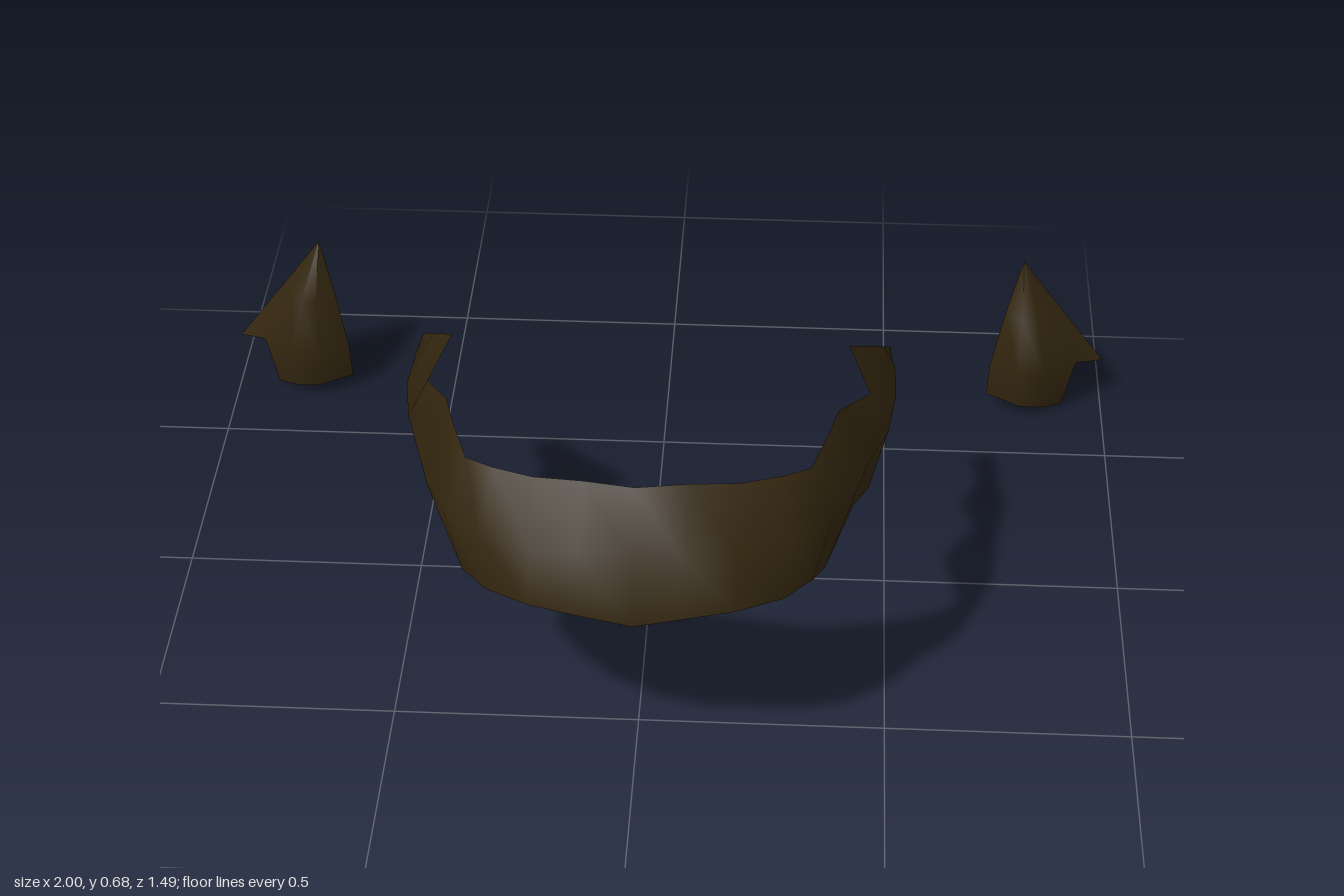
import * as THREE from 'three';

const darkBrown = new THREE.MeshStandardMaterial({ color: 0x33260f, side: THREE.DoubleSide });
darkBrown.name = 'darkBrown';

// Smooth sheet from columns of points (each column runs top to bottom); null leaves a gap
function sheet(name, columns) {
  const points = [];
  const ids = columns.map(col => col.map(p => (p ? points.push(new THREE.Vector3(...p)) - 1 : -1)));
  const index = [];
  const addTriangle = (a, b, c) => {
    if (new THREE.Triangle(points[a], points[b], points[c]).getArea() > 1e-6) index.push(a, b, c);
  };
  for (let i = 0; i < ids.length - 1; i++) {
    for (let j = 0; j < ids[i].length - 1; j++) {
      const a = ids[i][j], b = ids[i + 1][j], c = ids[i][j + 1], d = ids[i + 1][j + 1];
      if (Math.min(a, b, c, d) < 0) continue;
      addTriangle(a, c, d);
      addTriangle(a, d, b);
    }
  }
  const geometry = new THREE.BufferGeometry().setFromPoints(points);
  geometry.setIndex(index);
  geometry.computeVertexNormals();
  const mesh = new THREE.Mesh(geometry, darkBrown);
  mesh.name = name;
  return mesh;
}

// Mirror across x, reversing the columns so the faces still look outward
const mirror = columns => columns.map(col => col.map(p => p && [-p[0], p[1], p[2]])).reverse();

// Left half of the jagged band, centre to tip: top edge, bulging middle, bottom edge
const bandHalf = [
  [[0, 0.65, 0.6], [0, 0.565, 0.695], [0, 0.4, 0.71]],
  [[0.1, 0.655, 0.59], [0.1, 0.565, 0.715], [0.1, 0.445, 0.74]],
  [[0.2, 0.64, 0.56], [0.2, 0.55, 0.68], [0.2, 0.445, 0.71]],
  [[0.28, 0.635, 0.525], [0.3, 0.54, 0.615], [0.29, 0.42, 0.63]],
  [[0.335, 0.635, 0.495], [0.375, 0.53, 0.54], [0.345, 0.4, 0.54]],
  [[0.365, 0.66, 0.42], [0.42, 0.53, 0.44], [0.37, 0.345, 0.42]],
  [[0.385, 0.68, 0.36], [0.445, 0.55, 0.36], [0.42, 0.46, 0.37]],
  [[0.45, 0.575, 0.14], [0.49, 0.5, 0.16], [0.455, 0.335, 0.13]],
  [[0.405, 0.64, 0.065], [0.505, 0.51, 0.05], [0.475, 0.43, 0.08]],
  [[0.46, 0.567, -0.05], [0.505, 0.49, -0.05], [0.48, 0.37, -0.05]],
  [[0.48, 0.528, -0.11], [0.505, 0.48, -0.11], [0.49, 0.43, -0.11]],
  [[0.495, 0.49, -0.17], [0.5, 0.45, -0.18], [0.495, 0.405, -0.165]],
  [[0.495, 0.38, -0.22], [0.495, 0.38, -0.22], [0.495, 0.38, -0.22]],
];

// Left pointed tuft, inner edge to outer spike, all columns meeting at the apex
const apex = [0.805, 0.36, -0.745];
const tuft = [
  [apex, [0.768, 0.25, -0.7], [0.738, 0.12, -0.675], [0.735, 0.03, -0.695]],
  [apex, [0.805, 0.255, -0.645], [0.8, 0.13, -0.62], [0.81, 0.03, -0.645]],
  [apex, [0.84, 0.25, -0.655], [0.86, 0.13, -0.625], [0.86, 0.016, -0.665]],
  [apex, [0.87, 0.25, -0.7], [0.935, 0.125, -0.69], [0.91, 0, -0.705]],
  [apex, [0.887, 0.25, -0.745], [1, 0.1, -0.745], null],
];

export function createModel() {
  const model = new THREE.Group();
  model.name = 'jaggedBandAndTufts';
  model.add(
    sheet('band', [...mirror(bandHalf.slice(1)), ...bandHalf]),
    sheet('leftTuft', tuft),
    sheet('rightTuft', mirror(tuft)),
  );
  return model;
}
